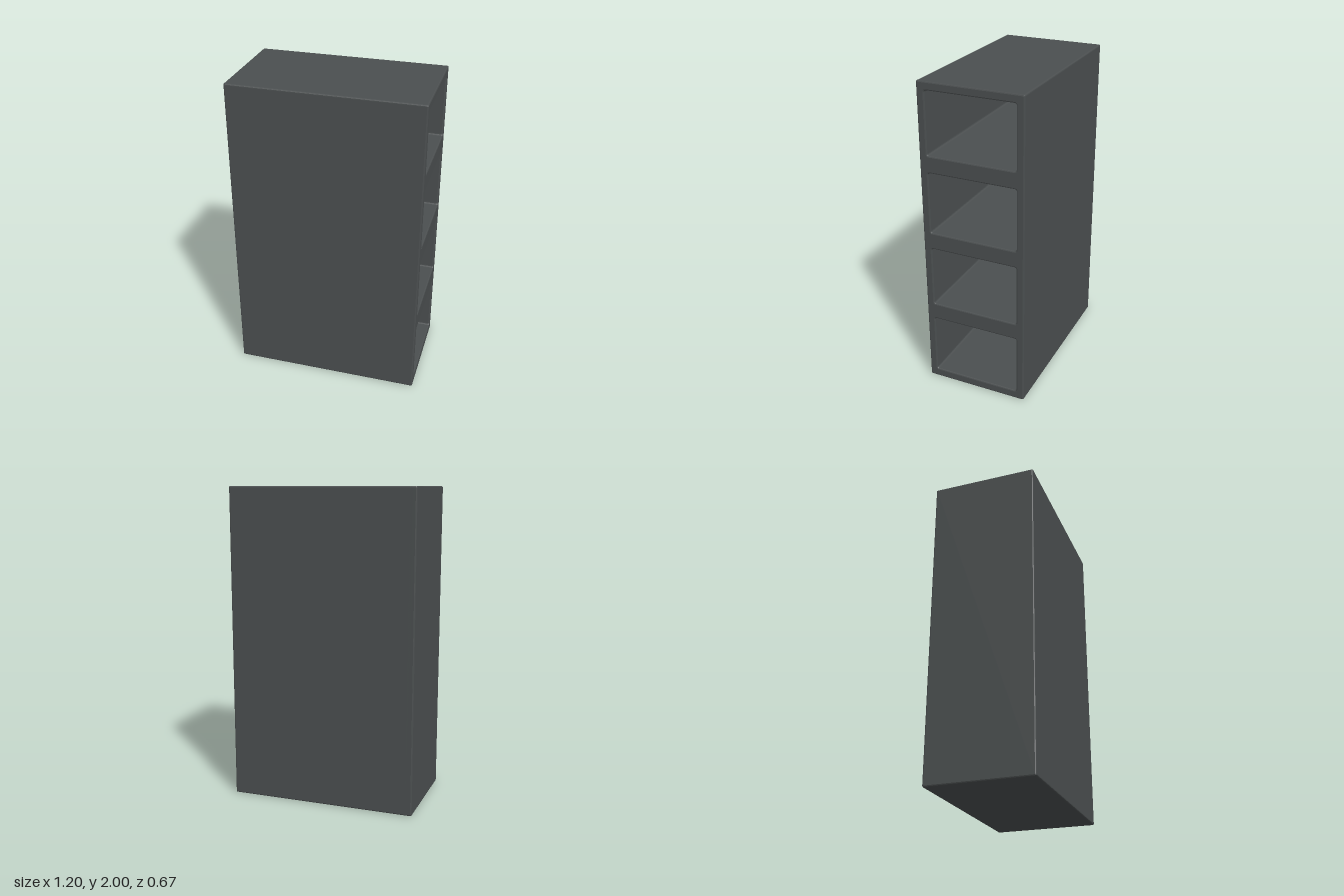
import * as THREE from 'three';

const WIDTH = 1.2, HEIGHT = 2, DEPTH = 0.667;
const BEVEL = 0.008;

// Traces a rounded rectangle, centred on x, with its bottom at y.
function roundedRect(path, w, y, h, r) {
  const x0 = -w / 2, x1 = w / 2, y1 = y + h;
  path.moveTo(x0 + r, y);
  path.lineTo(x1 - r, y);
  path.quadraticCurveTo(x1, y, x1, y + r);
  path.lineTo(x1, y1 - r);
  path.quadraticCurveTo(x1, y1, x1 - r, y1);
  path.lineTo(x0 + r, y1);
  path.quadraticCurveTo(x0, y1, x0, y1 - r);
  path.lineTo(x0, y + r);
  path.quadraticCurveTo(x0, y, x0 + r, y);
  return path;
}

// Extrudes a side profile along x, from xStart to xEnd, with softened ends.
function extrudeAlongX(shape, xStart, xEnd) {
  const geometry = new THREE.ExtrudeGeometry(shape, {
    depth: xEnd - xStart - 2 * BEVEL,
    bevelThickness: BEVEL,
    bevelSize: BEVEL,
    bevelOffset: -BEVEL,
    bevelSegments: 2,
    curveSegments: 4,
  });
  geometry.rotateY(Math.PI / 2);
  geometry.translate(xStart + BEVEL, 0, 0);
  return geometry;
}

export function createModel() {
  const model = new THREE.Group();
  model.name = 'cubbyShelf';
  const charcoal = new THREE.MeshStandardMaterial({ color: 0x4b4f50 });
  charcoal.name = 'charcoal';

  const outline = () => roundedRect(new THREE.Shape(), DEPTH, 0, HEIGHT, 0.01);

  // Outer case with four stacked compartments open towards +x
  const caseShape = outline();
  for (let i = 0; i < 4; i++) {
    caseShape.holes.push(roundedRect(new THREE.Path(), 0.568, 0.055 + i * 0.5, 0.392, 0.012));
  }
  const shelfCase = new THREE.Mesh(extrudeAlongX(caseShape, -0.58, WIDTH / 2), charcoal);
  shelfCase.name = 'shelfCase';

  // Solid panel closing the far end of the compartments
  const backPanel = new THREE.Mesh(extrudeAlongX(outline(), -WIDTH / 2, -0.55), charcoal);
  backPanel.name = 'backPanel';

  model.add(shelfCase, backPanel);
  return model;
}
